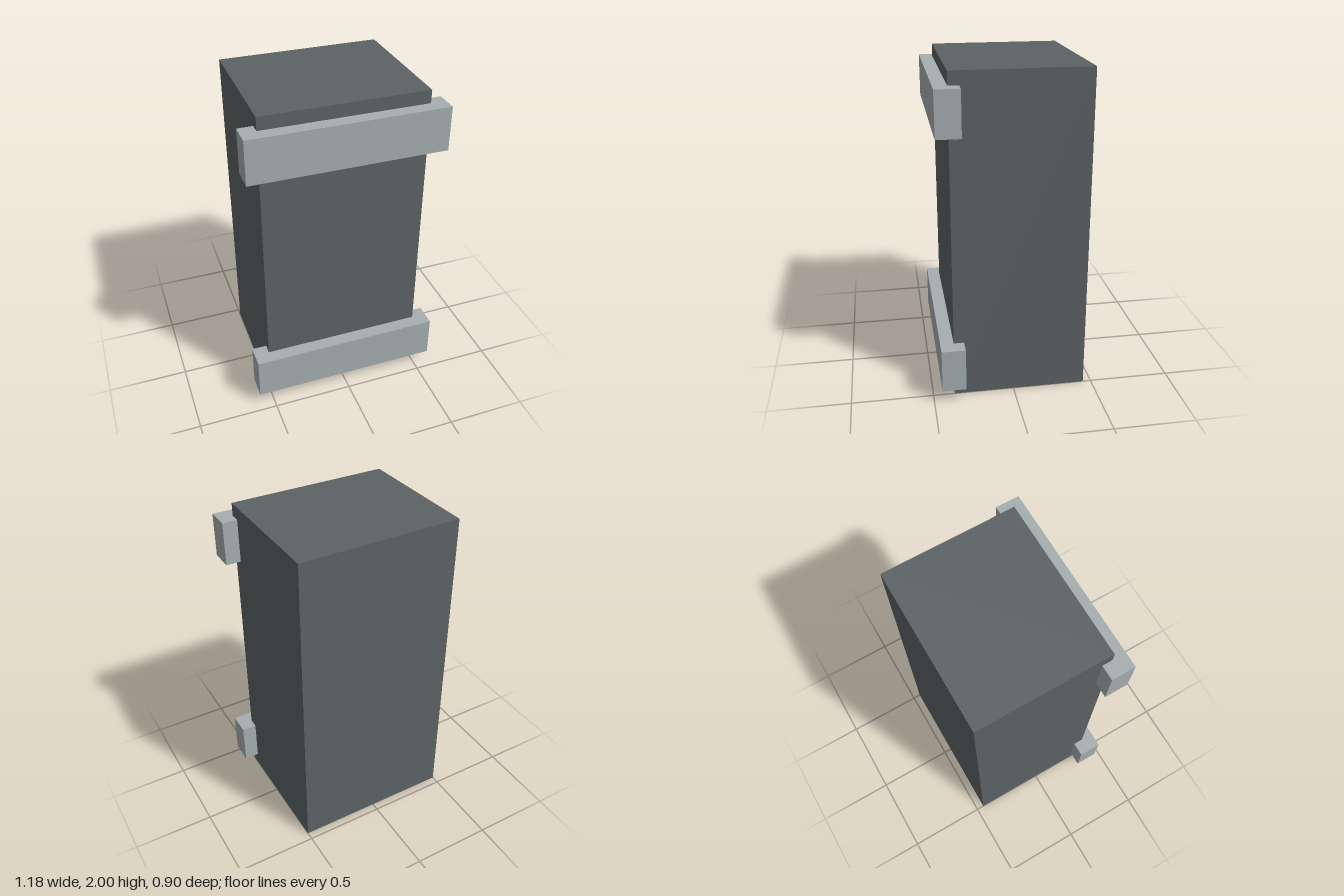
import * as THREE from 'three';

const bodyGrey = new THREE.MeshStandardMaterial({ name: 'dark grey', color: 0x5c6265 });
const bandGrey = new THREE.MeshStandardMaterial({ name: 'light grey', color: 0xa6aeb0 });

// Box given by its lower and upper corners
function box(name, min, max, material) {
  const size = max.map((v, i) => v - min[i]);
  const mesh = new THREE.Mesh(new THREE.BoxGeometry(...size), material);
  mesh.position.set(...max.map((v, i) => (v + min[i]) / 2));
  mesh.name = name;
  return mesh;
}

export function createModel() {
  const model = new THREE.Group();
  model.name = 'bandedBlock';

  // Main upright block
  model.add(box('body', [-0.5, 0, -0.45], [0.5, 2, 0.368], bodyGrey));

  // Two crossbars wrapped over the front corners
  for (const [name, y] of [['lowerBar', 0.085], ['upperBar', 1.65]]) {
    model.add(box(name, [-0.592, y, 0.305], [0.592, y + 0.27, 0.45], bandGrey));
  }
  return model;
}
